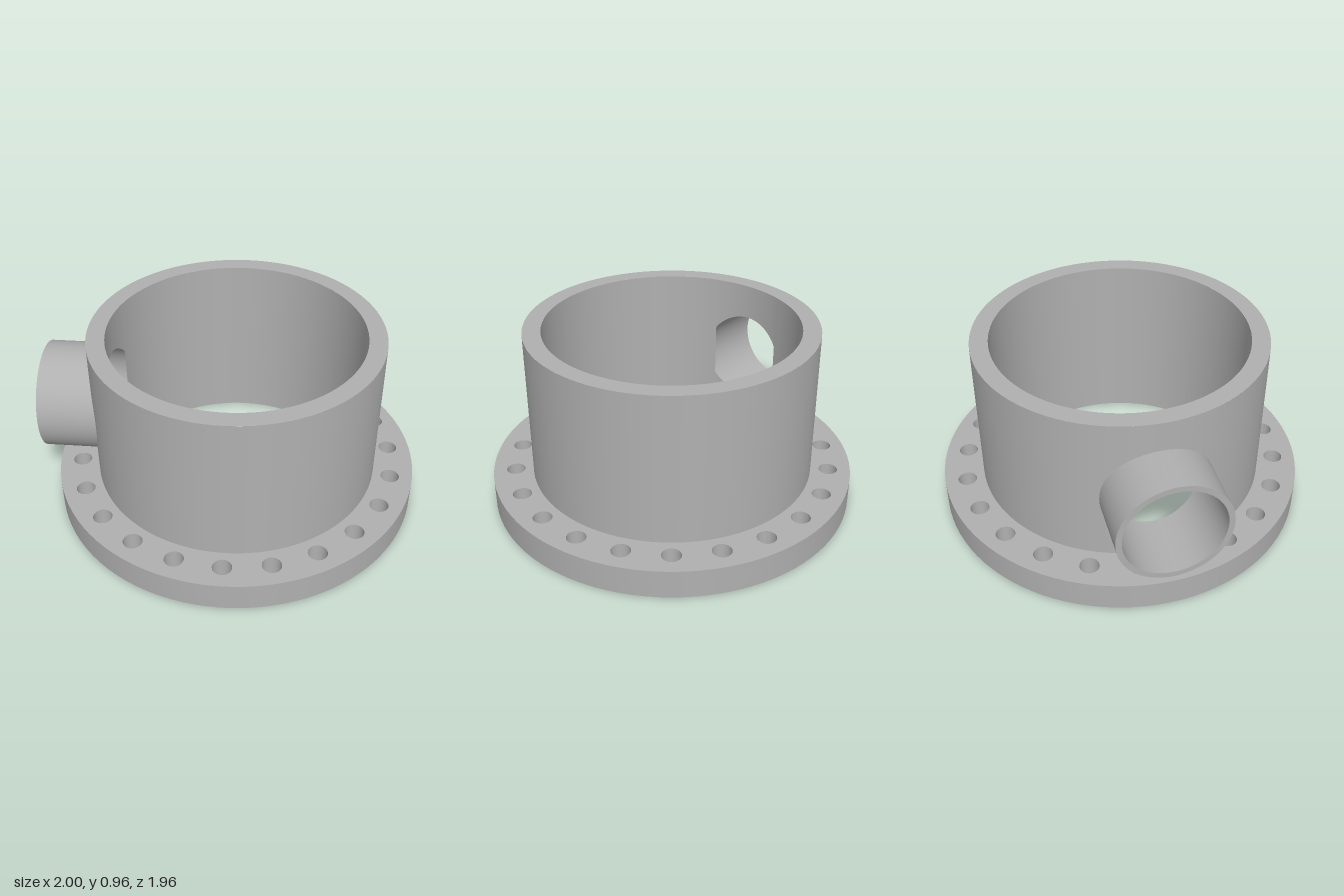
import * as THREE from 'three';
import { toCreasedNormals } from 'three/addons/utils/BufferGeometryUtils.js';

const CX = 0.018;                                 // axis of the main barrel
const FLANGE_R = 0.98, FLANGE_H = 0.155;
const OUTER_R = 0.765, INNER_R = 0.67, TOP = 0.965;
const PIPE_Y = 0.52, PIPE_R = 0.285, BORE_R = 0.255, BORE_END = -0.619;
const BOLTS = 22, BOLT_CIRCLE = 0.86, BOLT_R = 0.05;

// Smooth strip between two rows of points; swapping the rows flips its face
function strip(a, b) {
  const pos = [], index = [];
  a.forEach((p, i) => {
    pos.push(...p, ...b[i]);
    if (i) index.push(2 * i - 2, 2 * i, 2 * i + 1, 2 * i - 2, 2 * i + 1, 2 * i - 1);
  });
  const g = new THREE.BufferGeometry();
  g.setAttribute('position', new THREE.Float32BufferAttribute(pos, 3));
  g.setIndex(index);
  g.computeVertexNormals();
  return g;
}

const steps = (from, to, n) => Array.from({ length: n + 1 }, (_, i) => from + (to - from) * i / n);
const boreHalf = z => Math.sqrt(Math.max(0, BORE_R * BORE_R - z * z));

export function createModel() {
  const model = new THREE.Group();
  const metal = new THREE.MeshStandardMaterial({ color: 0xb0b0b0 });
  metal.name = 'grey metal';
  const add = (name, geometry, parent = model) => {
    const mesh = new THREE.Mesh(geometry, metal);
    mesh.name = name;
    parent.add(mesh);
    return mesh;
  };

  // Flange with a ring of bolt holes
  const disc = new THREE.Shape().absarc(0, 0, FLANGE_R, 0, Math.PI * 2);
  disc.holes.push(new THREE.Path().absarc(0, 0, INNER_R, 0, Math.PI * 2, true));
  for (let i = 0; i < BOLTS; i++) {
    const t = Math.PI / 2 + i * Math.PI * 2 / BOLTS;
    disc.holes.push(new THREE.Path().absarc(
      BOLT_CIRCLE * Math.cos(t), BOLT_CIRCLE * Math.sin(t), BOLT_R, 0, Math.PI * 2, true));
  }
  const flange = new THREE.ExtrudeGeometry(disc, { depth: FLANGE_H, bevelEnabled: false, curveSegments: 48 });
  flange.rotateX(-Math.PI / 2).translate(CX, 0, 0);
  add('flange', toCreasedNormals(flange, 0.6));

  // Barrel wall with an opening for the bore, angles measured from -x
  const wall = (name, r, holeHalfWidth, inward) => {
    const group = new THREE.Group();
    group.name = name;
    model.add(group);
    const a = Math.asin(holeHalfWidth / r);
    const row = (angles, y) => angles.map(t => [CX - r * Math.cos(t), y(r * Math.sin(t)), r * Math.sin(t)]);
    const panel = (part, angles, low, high) => {
      const rows = [row(angles, low), row(angles, high)];
      add(part, inward ? strip(rows[1], rows[0]) : strip(...rows), group);
    };
    const around = steps(a, Math.PI * 2 - a, 96);
    // Finer steps towards the sides of the round opening
    const across = steps(-Math.PI / 2, Math.PI / 2, 32).map(s => Math.asin(Math.sin(s) * holeHalfWidth / r));
    const bottom = () => FLANGE_H, top = () => TOP;
    panel('wallAround', around, bottom, top);
    panel('wallBelowBore', across, bottom, z => PIPE_Y - boreHalf(z));
    panel('wallAboveBore', across, z => PIPE_Y + boreHalf(z), top);
  };
  const slotHalf = Math.sqrt(INNER_R ** 2 - (CX - BORE_END) ** 2);
  wall('barrelOutside', OUTER_R, BORE_R, false);
  wall('barrelInside', INNER_R, slotHalf, true);
  add('barrelRim', new THREE.RingGeometry(INNER_R, OUTER_R, 96).rotateX(-Math.PI / 2).translate(CX, TOP, 0));

  // Side pipe
  const pipe = new THREE.Group();
  pipe.name = 'sidePipe';
  model.add(pipe);
  const length = 0.31;
  add('pipeOutside', new THREE.CylinderGeometry(PIPE_R, PIPE_R, length, 64, 1, true)
    .rotateZ(Math.PI / 2).translate(-1 + length / 2, PIPE_Y, 0), pipe);
  add('pipeRim', new THREE.RingGeometry(BORE_R, PIPE_R, 64).rotateY(-Math.PI / 2).translate(-1, PIPE_Y, 0), pipe);

  // Bore, running to its flat end or to the inside of the barrel
  const turn = steps(0, Math.PI * 2, 96);
  const boreRow = x => turn.map(t => {
    const z = BORE_R * Math.sin(t);
    return [x(z), PIPE_Y + BORE_R * Math.cos(t), z];
  });
  const boreStop = z => Math.min(BORE_END, CX - Math.sqrt(INNER_R ** 2 - z * z));
  add('pipeBore', strip(boreRow(boreStop), boreRow(() => -1)), pipe);

  // Narrow flat ledges left at the end of the bore
  for (const [from, to] of [[-BORE_R, -slotHalf], [slotHalf, BORE_R]]) {
    const zs = steps(from, to, 12);
    const edge = s => zs.map(z => [BORE_END, PIPE_Y + s * boreHalf(z), z]);
    add('boreLedge', strip(edge(-1), edge(1)), pipe);
  }
  return model;
}
